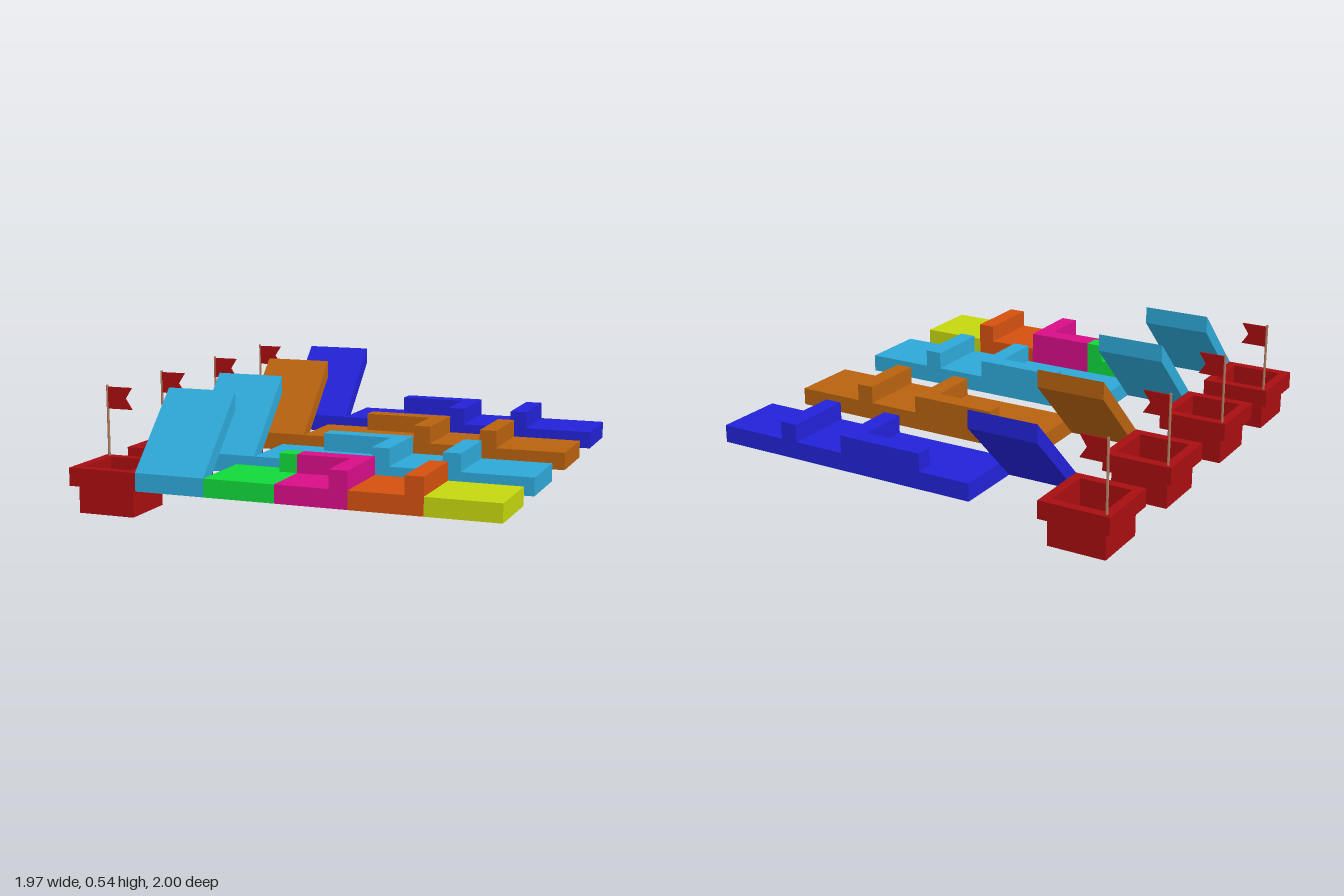
import * as THREE from 'three';

const U = 0.328;            // tile side
const T = U / 4;            // tile thickness, wall width and wall height
const Y0 = 0.126;           // underside of the tiles
const Y1 = Y0 + T;          // top of the tiles

function material(name, color) {
  const m = new THREE.MeshStandardMaterial({ color });
  m.name = name;
  return m;
}

function add(parent, name, geometry, mat, x = 0, y = 0, z = 0) {
  const mesh = new THREE.Mesh(geometry, mat);
  mesh.name = name;
  mesh.position.set(x, y, z);
  parent.add(mesh);
  return mesh;
}

// Box given by its minimum and maximum corners
function block(parent, name, mat, [x0, y0, z0], [x1, y1, z1]) {
  return add(parent, name, new THREE.BoxGeometry(x1 - x0, y1 - y0, z1 - z0), mat,
    (x0 + x1) / 2, (y0 + y1) / 2, (z0 + z1) / 2);
}

function polygon(points) {
  return new THREE.Shape(points.map(([x, y]) => new THREE.Vector2(x, y)));
}

function square(side) {
  const s = side / 2;
  return [[-s, -s], [s, -s], [s, s], [-s, s]];
}

// Upright square tube standing on y = 0
function squareTube(outer, inner, height) {
  const shape = polygon(square(outer));
  shape.holes.push(polygon(square(inner)));
  return new THREE.ExtrudeGeometry(shape, { depth: height, bevelEnabled: false }).rotateX(-Math.PI / 2);
}

// Slab sheared upwards by 45 degrees towards the back
function rampGeometry() {
  const h = U / 2;
  const shape = polygon([[-h, 0], [h, U], [h, U + T], [-h, T]]);
  return new THREE.ExtrudeGeometry(shape, { depth: U, bevelEnabled: false }).rotateY(Math.PI / 2);
}

// Square pot with a flag on its back left corner
function createPot(red, wood) {
  const pot = new THREE.Group();
  pot.name = 'pot';
  add(pot, 'potRim', squareTube(U, 0.24, T), red, 0, Y0);
  add(pot, 'potWalls', squareTube(0.268, 0.24, Y0), red);
  block(pot, 'potFloor', red, [-0.125, 0, -0.125], [0.125, 0.04, 0.125]);

  const px = -0.139, pz = -0.141;
  add(pot, 'flagPole', new THREE.CylinderGeometry(0.006, 0.006, 0.335, 8), wood, px, 0.3675, pz);
  const cloth = polygon([[0, 0], [0.125, 0], [0.092, 0.05], [0.125, 0.1], [0, 0.1]]);
  const flag = new THREE.ExtrudeGeometry(cloth, { depth: 0.008, bevelEnabled: false });
  add(pot, 'flag', flag, red, px, 0.427, pz - 0.004);
  return pot;
}

// One row of tiles; colours run from the ramp to the end tile
function createTrack([ramp, start, corner, gate, end]) {
  const track = new THREE.Group();
  track.name = 'track';
  const back = -U / 2, front = U / 2, top = Y1 + T;

  add(track, 'ramp', rampGeometry(), ramp, -2 * U, Y0);
  [['startTile', start], ['cornerTile', corner], ['gateTile', gate], ['endTile', end]].forEach(([name, mat], i) =>
    block(track, name, mat, [(i - 1) * U, Y0, back], [i * U, Y1, front]));

  // Raised walls
  block(track, 'startWall', start, [-T, Y1, back], [0, top, back + T]);
  block(track, 'cornerBackWall', corner, [0, Y1, back], [U - T, top, back + T]);
  block(track, 'cornerSideWall', corner, [U - T, Y1, back], [U, top, front]);
  block(track, 'gateWall', gate, [2 * U - T, Y1, back], [2 * U, top, front]);
  return track;
}

export function createModel() {
  const red = material('dark red', 0xa80e10);
  const wood = material('pole wood', 0xb07c60);
  const blue = material('blue', 0x2222d8);
  const brown = material('brown', 0xb8620f);
  const cyan = material('sky blue', 0x2ea8d8);
  const green = material('green', 0x10d83a);
  const magenta = material('magenta', 0xd80e88);
  const orange = material('orange', 0xd4500f);
  const yellow = material('yellow', 0xc5d60f);

  const rows = [
    { z: -0.836, colors: Array(5).fill(blue) },
    { z: -0.264, colors: Array(5).fill(brown) },
    { z: 0.321, colors: Array(5).fill(cyan) },
    { z: 0.836, colors: [cyan, green, magenta, orange, yellow] },
  ];

  const model = new THREE.Group();
  model.name = 'trackSet';
  for (const { z, colors } of rows) {
    const row = new THREE.Group();
    row.name = 'row';
    row.position.z = z;
    const pot = createPot(red, wood);
    pot.position.x = -2.5 * U;
    row.add(pot, createTrack(colors));
    model.add(row);
  }
  return model;
}
